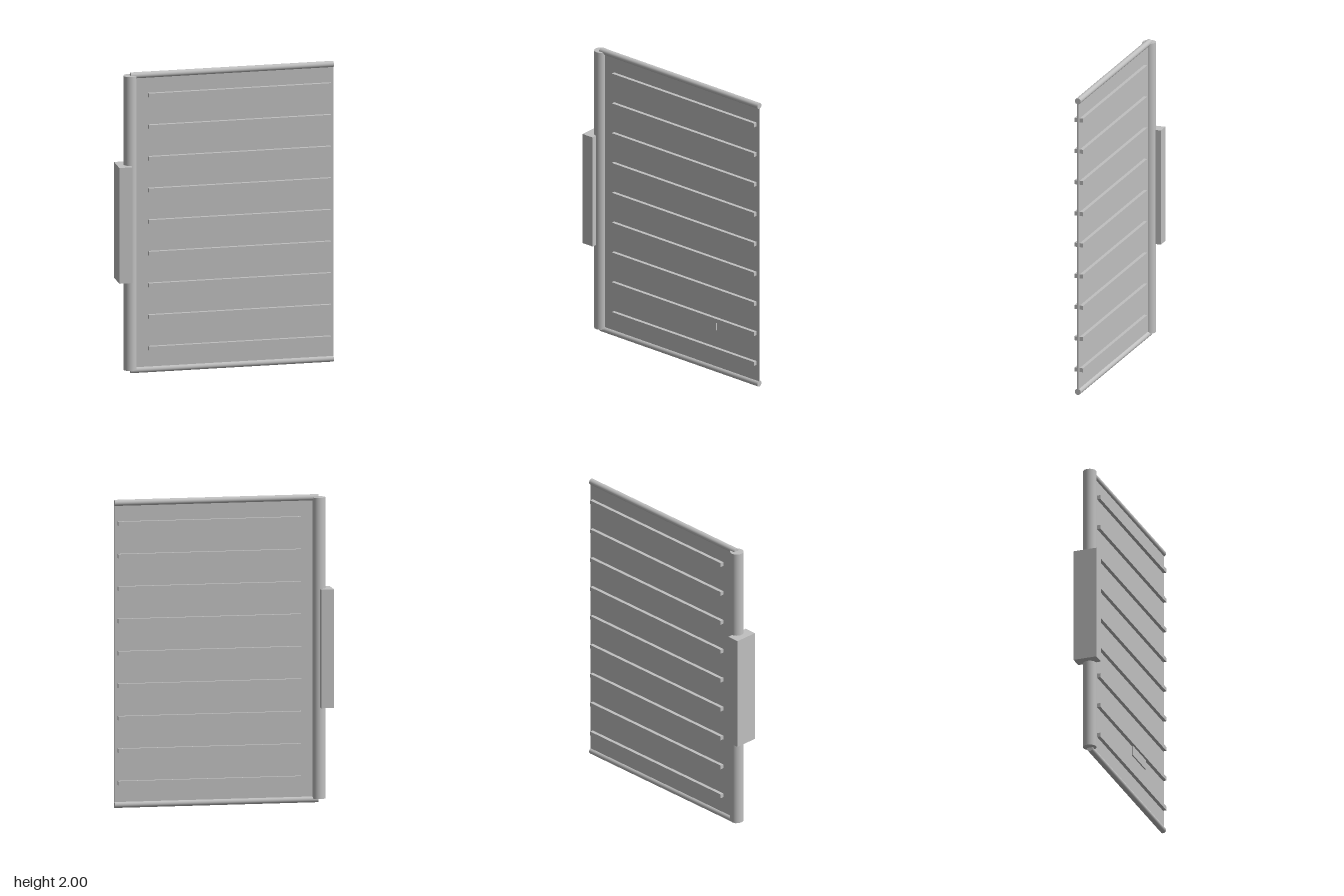
import * as THREE from 'three';

export function createModel() {
  const model = new THREE.Group();
  const grey = new THREE.MeshStandardMaterial({ color: 0xc0c0c0 });
  grey.name = 'light grey';

  function add(name, geometry, x, y, z = 0) {
    const mesh = new THREE.Mesh(geometry, grey);
    mesh.name = name;
    mesh.position.set(x, y, z);
    model.add(mesh);
    return mesh;
  }

  const left = -0.625, right = 0.71;
  const width = right - left, middle = (left + right) / 2;

  // Thin upright panel
  add('panel', new THREE.BoxGeometry(width, 1.96, 0.012), middle, 1);

  // Round rails along the top and bottom edges
  const rail = new THREE.CylinderGeometry(0.02, 0.02, width, 32).rotateZ(Math.PI / 2);
  add('bottomRail', rail, middle, 0.02);
  add('topRail', rail, middle, 1.98);

  // Round hinge post with its mounting block
  add('post', new THREE.CylinderGeometry(0.043, 0.043, 1.955, 48), -0.628, 1.003);
  add('mountingBlock', new THREE.BoxGeometry(0.085, 0.77, 0.156), -0.6725, 1.005);

  // Horizontal slats, proud of the panel on both faces
  const slat = new THREE.BoxGeometry(1.2, 0.027, 0.058);
  for (let i = 0; i < 9; i++) add('slat', slat, 0.09, 0.163 + i * 0.2105);

  // Small plate low on the front face
  add('smallPlate', new THREE.BoxGeometry(0.235, 0.07, 0.009), 0.238, 0.33, 0.0105);

  return model;
}
